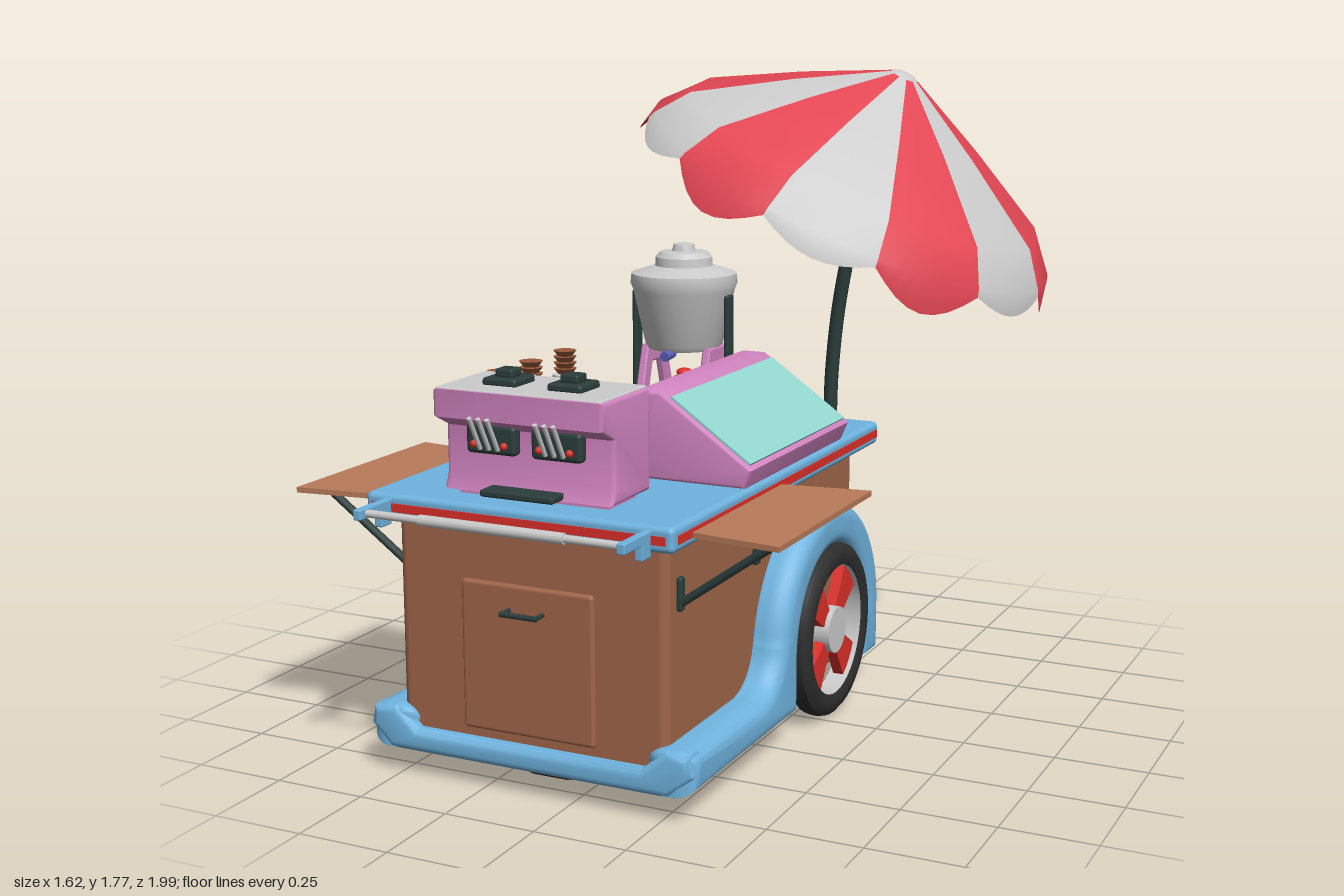
import * as THREE from 'three';
import { toCreasedNormals } from 'three/addons/utils/BufferGeometryUtils.js';
import { RoundedBoxGeometry } from 'three/addons/geometries/RoundedBoxGeometry.js';

const mat = (color, side = THREE.FrontSide) => new THREE.MeshStandardMaterial({ color, side });
const M = {
  grey: mat(0xcccccc), blue: mat(0x6fb3de), brown: mat(0xa0664a), tray: mat(0xb87a5a), red: mat(0xdd2f2a),
  pink: mat(0xd084bf), dark: mat(0x2b3d3b), tire: mat(0x2e2e2e), glass: mat(0x93d6cf), cone: mat(0x9a5a3c),
  wafer: mat(0xc9a25a), lever: mat(0x5a62c0), rim: mat(0xcccccc, THREE.DoubleSide),
  canopyRed: mat(0xe24653, THREE.DoubleSide), canopyGrey: mat(0xcccccc, THREE.DoubleSide),
};
const CX = -0.12; // centre line of the cart body

export function createModel() {
  const root = new THREE.Group();

  const add = (name, geo, m, x = 0, y = 0, z = 0, parent = root) => {
    const mesh = new THREE.Mesh(geo, m);
    mesh.name = name;
    mesh.position.set(x, y, z);
    parent.add(mesh);
    return mesh;
  };
  // box given by its min and max on each axis, with optional rounding
  const box = (name, m, [x0, x1], [y0, y1], [z0, z1], r = 0) => {
    const s = [x1 - x0, y1 - y0, z1 - z0];
    const geo = r ? new RoundedBoxGeometry(...s, 3, r) : new THREE.BoxGeometry(...s);
    return add(name, geo, m, (x0 + x1) / 2, (y0 + y1) / 2, (z0 + z1) / 2);
  };
  const rod = (name, m, a, b, r, parent = root) => {
    const A = new THREE.Vector3(...a), B = new THREE.Vector3(...b), d = B.clone().sub(A);
    const mesh = add(name, new THREE.CylinderGeometry(r, r, d.length(), 10), m, 0, 0, 0, parent);
    mesh.position.copy(A).add(B).multiplyScalar(0.5);
    mesh.quaternion.setFromUnitVectors(new THREE.Vector3(0, 1, 0), d.normalize());
    return mesh;
  };
  const poly = (pts) => new THREE.Shape(pts.map((p) => new THREE.Vector2(...p)));
  // extrusion of total thickness t, centred on z, whose bevel stays inside the outline
  const slab = (shape, t, bevel = 0, segs = 3, bevelSize = bevel) => {
    const geo = new THREE.ExtrudeGeometry(shape, {
      depth: t - 2 * bevel, bevelEnabled: bevel > 0, bevelThickness: bevel, bevelSize,
      bevelOffset: -bevelSize, bevelSegments: segs, curveSegments: 20,
    });
    geo.translate(0, 0, -(t - 2 * bevel) / 2);
    return toCreasedNormals(geo, 0.7);
  };
  const lathe = (pts, n = 32) => toCreasedNormals(new THREE.LatheGeometry(pts.map((p) => new THREE.Vector2(...p)), n), 0.6);

  // Cart body, door and counter
  box('body', M.brown, [-0.5, 0.26], [0.07, 0.7], [-0.41, 0.8], 0.025);
  box('door', M.brown, [-0.31, 0.065], [0.155, 0.545], [0.79, 0.812], 0.01);
  rod('doorHandle', M.dark, [-0.175, 0.48, 0.848], [-0.07, 0.48, 0.848], 0.007);
  for (const x of [-0.17, -0.075]) rod('doorHandlePost', M.dark, [x, 0.48, 0.8], [x, 0.48, 0.85], 0.006);
  box('counter', M.blue, [-0.55, 0.31], [0.69, 0.755], [-0.49, 0.865], 0.015);
  box('sideStripe', M.red, [-0.553, 0.313], [0.711, 0.733], [-0.47, 0.84]);
  box('endStripe', M.red, [-0.53, 0.29], [0.711, 0.733], [-0.493, 0.868]);

  // Fenders with front rail, wheels, trays and push-bar arms, mirrored on both sides
  const fender = new THREE.Shape();
  fender.moveTo(0.83, 0.075);
  fender.lineTo(0.83, 0.16);
  fender.quadraticCurveTo(0.83, 0.19, 0.8, 0.19);
  fender.lineTo(0.42, 0.19);
  fender.quadraticCurveTo(0.32, 0.2, 0.295, 0.3);
  fender.absarc(-0.067, 0.24, 0.366, 0.17, Math.PI, false);
  fender.lineTo(-0.433, 0.075);
  fender.lineTo(-0.302, 0.075);
  fender.lineTo(-0.302, 0.24);
  fender.absarc(-0.067, 0.24, 0.235, Math.PI, 0, true);
  fender.lineTo(0.168, 0.075);
  const fenderGeo = slab(fender, 0.14, 0.06, 6, 0.045);
  const tireGeo = lathe([[0.182, -0.03], [0.2, -0.038], [0.225, -0.035], [0.24, -0.022], [0.244, 0],
    [0.24, 0.022], [0.225, 0.035], [0.2, 0.038], [0.182, 0.03], [0.182, -0.03]], 40);
  const spokeGeo = slab(poly([[0.05, -0.025], [0.186, -0.055], [0.186, 0.055], [0.05, 0.025]]), 0.03);

  for (const s of [-1, 1]) {
    const side = s > 0 ? 'left' : 'right';
    add(side + 'Fender', fenderGeo, M.blue, CX + s * 0.398, 0, 0).rotation.y = -Math.PI / 2;

    const wheel = new THREE.Group();
    wheel.name = side + 'Wheel';
    wheel.position.set(CX + s * 0.446, 0.247, -0.067);
    wheel.rotation.z = Math.PI / 2;
    root.add(wheel);
    add('tire', tireGeo, M.tire, 0, 0, 0, wheel);
    add('rim', new THREE.CylinderGeometry(0.181, 0.181, 0.058, 40, 1, true), M.rim, 0, 0, 0, wheel);
    add('hub', new THREE.CylinderGeometry(0.065, 0.065, 0.06, 24), M.grey, 0, 0, 0, wheel);
    for (let i = 0; i < 4; i++) {
      const spoke = add('spoke', spokeGeo, M.red, 0, 0, 0, wheel);
      spoke.rotation.set(-Math.PI / 2, 0, Math.PI / 4 + (i * Math.PI) / 2);
    }

    const edge = s * 0.425, tip = s * (s > 0 ? 0.67 : 0.69);
    const tray = slab(poly([[edge, 0.235], [tip, 0.2], [tip, 0.8], [edge, 0.768]]), 0.014);
    add(side + 'Tray', tray, M.tray, CX, 0.717, 0).rotation.x = Math.PI / 2;
    for (const z of [0.286, 0.735]) {
      rod(side + 'TrayBracket', M.dark, [CX + s * 0.63, 0.708, z], [CX + s * 0.38, 0.53, z], 0.011);
      box(side + 'BracketPlate', M.dark, [CX + s * 0.385 - 0.008, CX + s * 0.385 + 0.008], [0.515, 0.6], [z - 0.013, z + 0.013], 0.006);
    }

    const hx = CX + s * 0.362;
    box(side + 'PushBarArm', M.blue, [hx - 0.011, hx + 0.011], [0.718, 0.745], [0.85, 1], 0.004);
    box(side + 'PushBarMount', M.blue, [hx - 0.011, hx + 0.011], [0.68, 0.745], [0.865, 0.91], 0.004);
  }
  rod('pushBar', M.grey, [CX - 0.36, 0.731, 0.97], [CX + 0.36, 0.731, 0.97], 0.01);
  rod('pushBarGrip', M.grey, [CX - 0.2, 0.731, 0.97], [CX + 0.2, 0.731, 0.97], 0.014);
  const bumper = poly([[-0.46, 0.13], [-0.4, 0.07], [0.4, 0.07], [0.46, 0.13], [0.45, 0.18], [0.385, 0.188],
    [0.32, 0.132], [-0.32, 0.132], [-0.385, 0.188], [-0.45, 0.18]]);
  add('frontBumper', slab(bumper, 0.08, 0.02), M.blue, CX, 0, 0.795);
  add('frontWheel', new THREE.CylinderGeometry(0.1, 0.1, 0.1, 28), M.tire, CX, 0.105, 0.665).rotation.z = Math.PI / 2;

  // Coffee machine
  const coffee = poly([[0.6, 0.77], [0.8, 0.77], [0.785, 0.81], [0.785, 0.93], [0.845, 0.96], [0.845, 1.03], [0.6, 1.03]]);
  add('coffeeMachine', slab(coffee, 0.475, 0.012), M.pink, CX, 0, 0).rotation.y = -Math.PI / 2;
  box('coffeeMachineFoot', M.pink, [-0.33, 0.09], [0.75, 0.78], [0.63, 0.77]);
  box('machineTop', M.grey, [-0.353, 0.108], [1.02, 1.034], [0.6, 0.838], 0.005);
  box('dripTray', M.dark, [-0.225, -0.02], [0.772, 0.79], [0.77, 0.85], 0.006);
  for (const x of [-0.213, -0.03]) {
    box('topKnobBase', M.dark, [x - 0.048, x + 0.048], [1.03, 1.052], [0.67, 0.77], 0.008);
    box('topKnob', M.dark, [x - 0.025, x + 0.025], [1.05, 1.072], [0.695, 0.745], 0.006);
    box('brewPanel', M.dark, [x - 0.07, x + 0.07], [0.87, 0.945], [0.78, 0.815], 0.012);
    for (const dx of [-0.025, 0, 0.025]) rod('brewLever', M.grey, [x + dx, 0.885, 0.82], [x + dx, 0.97, 0.868], 0.006);
    for (const dx of [-0.045, 0.04]) add('brewButton', new THREE.SphereGeometry(0.01, 10, 8), M.red, x + dx, 0.895, 0.816);
  }

  // Display case with sloping glass
  const caseShape = poly([[0, 0.755], [0.3, 0.755], [0.322, 0.805], [0.065, 0.985], [0, 0.985]]);
  add('displayCase', slab(caseShape, 0.67, 0.01), M.pink, 0, 0, 0.112);
  const glass = add('displayGlass', new THREE.BoxGeometry(0.27, 0.008, 0.64), M.glass, 0.2, 0.893, 0.112);
  glass.rotation.z = -Math.atan2(0.18, 0.257);

  // Cone holder with stacked cones
  box('coneHolder', M.pink, [-0.53, -0.375], [0.75, 0.865], [-0.185, 0.48], 0.008);
  for (const z of [0.38, 0.21, 0.02]) {
    add('conePot', new THREE.CylinderGeometry(0.036, 0.036, 0.06, 20), M.grey, -0.45, 0.89, z);
    for (let i = 0; i < 4; i++) {
      add('stackedCone', new THREE.CylinderGeometry(0.033, 0.02, 0.016, 16), M.cone, -0.45, 0.93 + i * 0.017, z);
    }
  }

  // Ice machine: drum on a splayed frame with a filled bowl below
  const ice = new THREE.Group();
  ice.name = 'iceMachine';
  ice.position.set(-0.255, 0, -0.352);
  root.add(ice);
  add('drum', lathe([[0, 0.955], [0.105, 0.955], [0.115, 0.97], [0.15, 1.13], [0.158, 1.15], [0.155, 1.178], [0.085, 1.2],
    [0.083, 1.225], [0.07, 1.24], [0.035, 1.243], [0.03, 1.262], [0, 1.268]]), M.grey, 0, 0, 0, ice);
  add('frameBase', new RoundedBoxGeometry(0.24, 0.025, 0.24, 2, 0.008), M.pink, 0, 0.766, 0, ice);
  const frameSide = poly([[-0.12, 0.76], [-0.075, 0.76], [-0.03, 0.91], [0.03, 0.91], [0.075, 0.76], [0.12, 0.76], [0.06, 0.965], [-0.06, 0.965]]);
  for (const s of [-1, 1]) {
    add('frameSide', slab(frameSide, 0.025, 0.005, 1), M.pink, s * 0.1, 0, 0, ice).rotation.y = -Math.PI / 2;
    add('sidePost', new RoundedBoxGeometry(0.016, 0.37, 0.04, 2, 0.006), M.dark, s * 0.15, 0.935, 0.01, ice);
  }
  add('bowl', lathe([[0, 0.78], [0.035, 0.782], [0.07, 0.825], [0.06, 0.825], [0, 0.81]], 20), M.wafer, 0, 0, 0, ice);
  [0.05, 0.038, 0.024].forEach((r, i) => add('iceSwirl', new THREE.SphereGeometry(r, 18, 10).scale(1, 0.5, 1), M.red, 0, 0.832 + i * 0.024, 0, ice));
  rod('crank', M.lever, [0, 0.95, 0.08], [0, 0.945, 0.13], 0.015, ice);

  // Parasol pole
  const path = new THREE.CatmullRomCurve3([[0.195, 0.75, -0.395], [0.2, 0.92, -0.395], [0.225, 1.14, -0.393],
    [0.29, 1.42, -0.385], [0.41, 1.74, -0.376]].map((p) => new THREE.Vector3(...p)));
  add('parasolPole', new THREE.TubeGeometry(path, 30, 0.02, 12), M.dark);

  // Tilted canopy: 12 panels, each swept from ring profiles with a scalloped hem
  const canopy = new THREE.Group();
  canopy.name = 'parasolCanopy';
  canopy.position.set(0.25, 1.41, -0.375);
  canopy.rotation.z = -THREE.MathUtils.degToRad(25);
  root.add(canopy);
  const rings = [[0.04, 0.383], [0.28, 0.262], [0.53, 0.122], [0.6, 0.035]];
  const N = 12, STEPS = 8;
  for (let k = 0; k < N; k++) {
    const isRed = k % 2 === 0, pos = [], idx = [];
    for (let j = 0; j <= STEPS; j++) {
      const u = j / STEPS, a = ((k + u) / N) * Math.PI * 2, lobe = Math.sin(Math.PI * u);
      rings.concat([[0.61 + 0.012 * lobe, 0.015 - (isRed ? 0.075 : 0.04) * lobe]]).forEach(([r, h], i) => {
        const q = i < 3 ? r * (1 - 0.025 * lobe) : r;
        pos.push(q * Math.cos(a), h, -q * Math.sin(a));
      });
    }
    const n = rings.length + 1;
    for (let j = 0; j < STEPS; j++) for (let i = 0; i < n - 1; i++) {
      const p = j * n + i;
      idx.push(p, p + 1, p + n, p + 1, p + n + 1, p + n);
    }
    const geo = new THREE.BufferGeometry();
    geo.setAttribute('position', new THREE.Float32BufferAttribute(pos, 3));
    geo.setIndex(idx);
    geo.computeVertexNormals();
    add('canopyPanel', geo, isRed ? M.canopyRed : M.canopyGrey, 0, 0, 0, canopy);
  }
  add('canopyCap', new THREE.CylinderGeometry(0.025, 0.05, 0.014, 20), M.grey, 0, 0.384, 0, canopy);

  return root;
}
